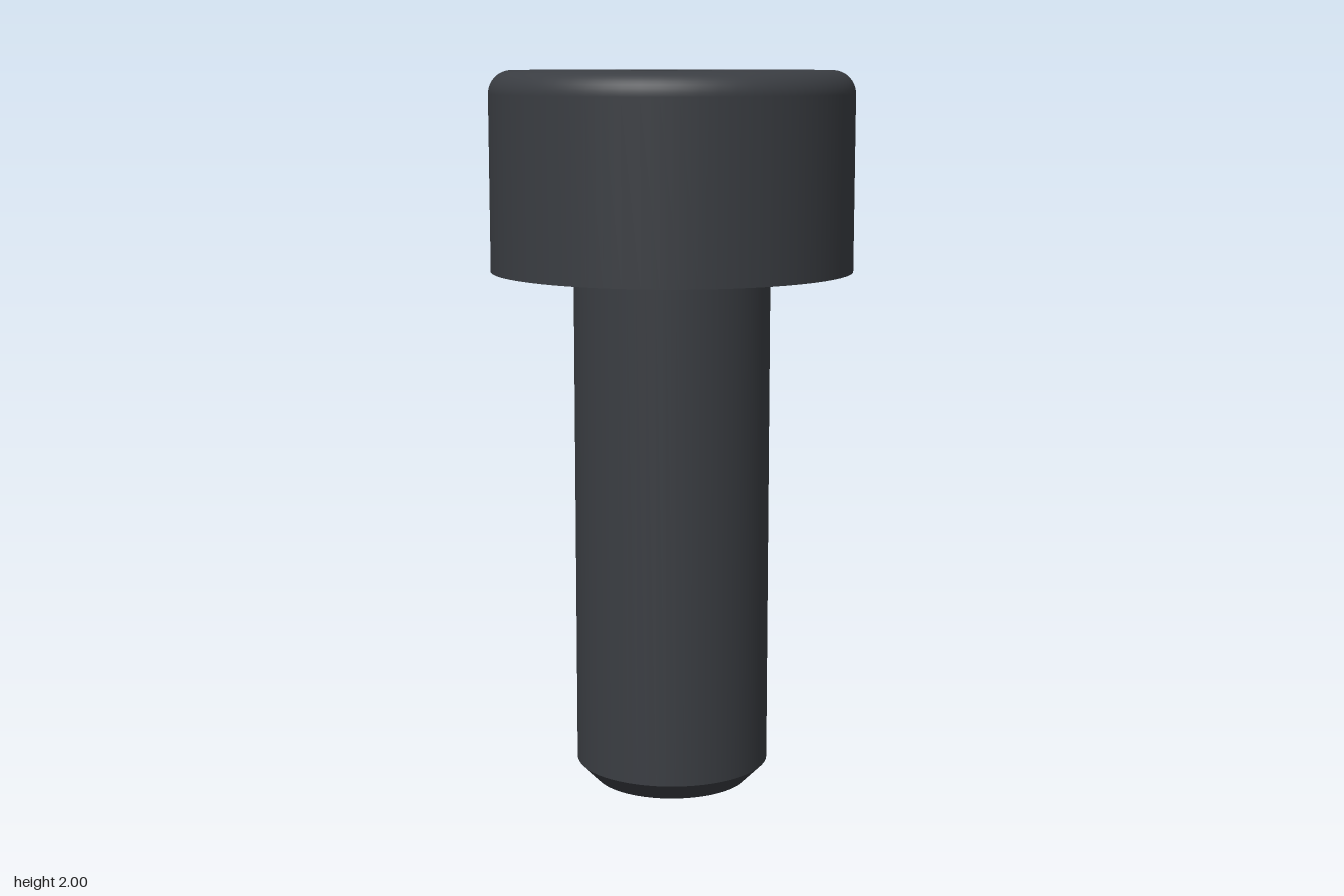
import * as THREE from 'three';

const SEGMENTS = 64;
const HEAD_R = 0.5, HEAD_BOTTOM = 1.455, TOP = 2, FILLET = 0.064;
const SHANK_R = 0.2727, CHAMFER = 0.055;
const HEX_R = 0.2625, SOCKET_FLOOR = 1.73;

export function createModel() {
  const steel = new THREE.MeshStandardMaterial({ color: 0x3a3d42 });
  steel.name = 'dark steel';

  const add = (parent, name, geometry) => {
    const mesh = new THREE.Mesh(geometry, steel);
    mesh.name = name;
    parent.add(mesh);
  };
  // Surface of revolution; separate bands keep the edges between them sharp
  const turn = (points, segments = SEGMENTS) =>
    new THREE.LatheGeometry(points.map(([r, y]) => new THREE.Vector2(r, y)), segments);

  const model = new THREE.Group();
  model.name = 'socketHeadScrew';

  // Shank with a chamfered tip
  const shank = new THREE.Group();
  shank.name = 'shank';
  model.add(shank);
  const tipR = SHANK_R - CHAMFER;
  add(shank, 'tipFace', turn([[0, 0], [tipR, 0]]));
  add(shank, 'tipChamfer', turn([[tipR, 0], [SHANK_R, CHAMFER]]));
  add(shank, 'shankBody', turn([[SHANK_R, CHAMFER], [SHANK_R, HEAD_BOTTOM]]));

  // Head: underside, then side running into the rounded rim
  const head = new THREE.Group();
  head.name = 'head';
  model.add(head);
  add(head, 'headUnderside', turn([[SHANK_R, HEAD_BOTTOM], [HEAD_R, HEAD_BOTTOM]]));
  const rim = [[HEAD_R, HEAD_BOTTOM]];
  for (let i = 0; i <= 10; i++) {
    const a = (i / 10) * Math.PI / 2;
    rim.push([HEAD_R - FILLET + FILLET * Math.cos(a), TOP - FILLET + FILLET * Math.sin(a)]);
  }
  add(head, 'headSide', turn(rim));

  // Flat top with the hexagonal opening
  const polygon = (r, n) => Array.from({ length: n }, (_, i) => {
    const a = (i / n) * Math.PI * 2;
    return new THREE.Vector2(r * Math.sin(a), r * Math.cos(a));
  });
  const face = new THREE.Shape(polygon(HEAD_R - FILLET, SEGMENTS));
  face.holes.push(new THREE.Path(polygon(HEX_R, 6)));
  add(head, 'headTop', new THREE.ShapeGeometry(face).rotateX(-Math.PI / 2).translate(0, TOP, 0));

  // Hex socket: inward-facing walls and floor, faceted
  const socket = turn([[HEX_R, TOP], [HEX_R, SOCKET_FLOOR], [0, SOCKET_FLOOR]], 6).toNonIndexed();
  socket.computeVertexNormals();
  add(head, 'hexSocket', socket);

  return model;
}
